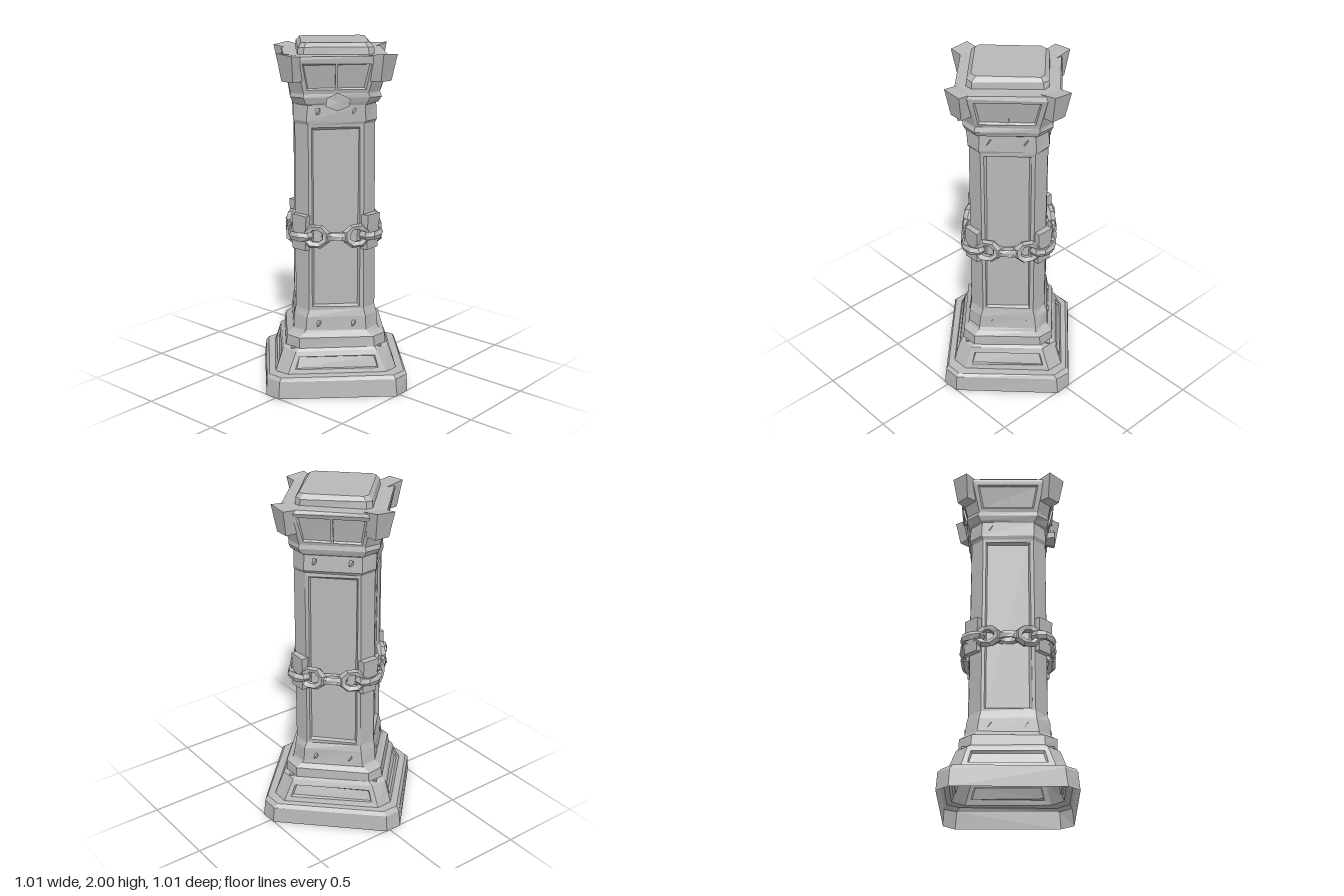
import * as THREE from 'three';

const stone = new THREE.MeshStandardMaterial({ color: 0xb8b8b8, flatShading: true, side: THREE.DoubleSide });
stone.name = 'grey stone';

// Repeatable small offset taken from position, for a hand-hewn look
function hewn(p, amount) {
  const k = Math.round(p.x * 500) * 12.99 + Math.round(p.y * 500) * 78.23 + Math.round(p.z * 500) * 37.72;
  const r = (n) => { const s = Math.sin(k + n * 17.3) * 43758.5; return (s - Math.floor(s) - 0.5) * 2 * amount; };
  return new THREE.Vector3(p.x + r(1), p.y + (p.y > 0.01 && p.y < 1.99 ? r(2) : 0), p.z + r(3));
}

function hewGeometry(geo, amount) {
  const pos = geo.attributes.position;
  for (let i = 0; i < pos.count; i++) {
    const v = hewn(new THREE.Vector3().fromBufferAttribute(pos, i), amount);
    pos.setXYZ(i, v.x, v.y, v.z);
  }
  geo.computeVertexNormals();
  return geo;
}

// Chamfered rectangle: s half size, c chamfer, d extra half length along x
function ring({ y, s, c = 0.07, d = 0.004 }) {
  const a = s + d, b = s - d;
  return [[c - a, b], [a - c, b], [a, b - c], [a, c - b], [a - c, -b], [c - a, -b], [-a, c - b], [-a, b - c]]
    .map(([x, z]) => new THREE.Vector3(x, y, z));
}

const quad = (out, a, b, c, d) => out.push(a, b, c, a, c, d);

// Quad framed by a border, with a bevelled recess in the middle
function panel(out, A, B, C, D, margin, depth) {
  const n = B.clone().sub(A).cross(D.clone().sub(A)).normalize();
  const inset = (m, sink) => {
    const u = m / A.distanceTo(B), v = m / A.distanceTo(D);
    return [[u, v], [1 - u, v], [1 - u, 1 - v], [u, 1 - v]].map(([s, t]) =>
      A.clone().lerp(B, s).lerp(D.clone().lerp(C, s), t).addScaledVector(n, -sink));
  };
  const loops = [[A, B, C, D], inset(margin, 0), inset(margin + depth * 0.6, depth)];
  for (let l = 0; l < 2; l++) {
    for (let i = 0; i < 4; i++) {
      const j = (i + 1) % 4;
      quad(out, loops[l][i], loops[l][j], loops[l + 1][j], loops[l + 1][i]);
    }
  }
  quad(out, ...loops[2]);
}

// Stack of rings; a row with "panel" has recessed faces above it
function stack(name, rows, capped = false) {
  const out = [];
  const rings = rows.map(ring);
  for (let r = 0; r + 1 < rows.length; r++) {
    for (let i = 0; i < 8; i++) {
      const j = (i + 1) % 8;
      const q = [rings[r][i], rings[r][j], rings[r + 1][j], rings[r + 1][i]];
      if (rows[r].panel && i % 2 === 0) panel(out, ...q, ...rows[r].panel);
      else quad(out, ...q);
    }
  }
  if (capped) {
    const top = rings[rings.length - 1];
    for (let i = 1; i < 7; i++) out.push(top[0], top[i], top[i + 1]);
  }
  const geo = new THREE.BufferGeometry().setFromPoints(out.map((p) => hewn(p, 0.0035)));
  geo.computeVertexNormals();
  return named(name, geo);
}

function named(name, geo) {
  const mesh = new THREE.Mesh(geo, stone);
  mesh.name = name;
  return mesh;
}

// Faceted chain link, long axis x, hole facing z
function linkGeometry(length, height) {
  const geo = new THREE.TorusGeometry(0.05, 0.02, 5, 8);
  geo.rotateZ(Math.PI / 8);
  geo.scale(length / 0.135, height / 0.135, 1.25);
  return hewGeometry(geo, 0.004);
}

export function createModel() {
  const model = new THREE.Group();
  model.name = 'pillar';
  const body = new THREE.Group();
  body.name = 'pillarBody';
  body.rotation.y = Math.PI / 4;
  model.add(body);

  // Stepped plinth, open underneath
  body.add(stack('base', [
    { y: 0, s: 0.392, d: 0.017 }, { y: 0.1, s: 0.385, d: 0.017 },
    { y: 0.122, s: 0.37, d: 0.017 }, { y: 0.126, s: 0.334, d: 0.014, panel: [0.03, 0.012] },
    { y: 0.25, s: 0.293, d: 0.012 }, { y: 0.265, s: 0.275, d: 0.01 },
    { y: 0.325, s: 0.272, d: 0.01 }, { y: 0.345, s: 0.247, d: 0.008 },
    { y: 0.36, s: 0.24 }, { y: 0.44, s: 0.233 }, { y: 0.48, s: 0.222 },
  ]));
  const ceiling = named('baseCeiling', new THREE.BoxGeometry(0.52, 0.01, 0.5));
  ceiling.position.y = 0.262;
  body.add(ceiling);

  // Shaft with four tall sunken panels
  body.add(stack('shaft', [
    { y: 0.48, s: 0.222, panel: [0.018, 0.018] }, { y: 1.555, s: 0.22 },
    { y: 1.575, s: 0.227 }, { y: 1.665, s: 0.225 },
  ]));

  // Flared capital and the slab on top
  body.add(stack('capital', [
    { y: 1.665, s: 0.225 }, { y: 1.675, s: 0.234 }, { y: 1.705, s: 0.248 },
    { y: 1.73, s: 0.244, panel: [0.022, 0.012] }, { y: 1.915, s: 0.285 },
    { y: 1.935, s: 0.28 }, { y: 1.94, s: 0.2 },
  ]));
  body.add(stack('topSlab', [
    { y: 1.93, s: 0.215, c: 0.03, d: -0.004 }, { y: 1.975, s: 0.21, c: 0.03, d: -0.004 },
    { y: 2, s: 0.19, c: 0.025, d: -0.004 },
  ], true));

  // Corner pieces: capital horns, chain rests and corner links
  const horn = new THREE.BoxGeometry(0.12, 0.15, 0.12);
  const hp = horn.attributes.position;
  for (let i = 0; i < hp.count; i++) {
    if (hp.getY(i) < 0) {
      hp.setX(i, hp.getX(i) * 0.8);
      if (hp.getZ(i) > 0) hp.setZ(i, 0.035);
    } else if (hp.getZ(i) < 0) hp.setY(i, 0.06);
  }
  hewGeometry(horn, 0.006);
  const rest = hewGeometry(new THREE.BoxGeometry(0.105, 0.2, 0.07), 0.008);
  const cornerLink = linkGeometry(0.17, 0.12);
  for (let i = 0; i < 4; i++) {
    const corner = new THREE.Group();
    corner.name = 'corner' + (i + 1);
    corner.rotation.y = i * Math.PI / 2;
    const hornMesh = named('capitalHorn', horn);
    hornMesh.position.set(0, 1.873, 0.345);
    const restMesh = named('chainRest', rest);
    restMesh.position.set(0, 0.94, 0.265);
    const link = named('cornerLink', cornerLink);
    link.position.set(0, 0.925, 0.282);
    link.rotation.x = Math.PI / 2;
    corner.add(hornMesh, restMesh, link);
    model.add(corner);
  }

  // Chain links and chisel marks on each face
  const flatLink = linkGeometry(0.17, 0.14);
  const edgeLink = linkGeometry(0.17, 0.09);
  const mark = new THREE.TetrahedronGeometry(0.025);
  mark.scale(0.8, 1.2, 0.5);
  for (let i = 0; i < 4; i++) {
    const face = new THREE.Group();
    face.name = 'face' + (i + 1);
    face.rotation.y = i * Math.PI / 2;
    for (const side of [-1, 1]) {
      const link = named('flatLink', flatLink);
      link.position.set(side * 0.115, 0.925, 0.238);
      link.rotation.set(-0.15, side * 0.2, side * 0.08);
      face.add(link);
      for (const [y, z] of [[0.4, 0.233], [1.63, 0.224]]) {
        const chip = named('chiselMark', mark);
        chip.position.set(side * 0.1, y, z);
        face.add(chip);
      }
    }
    const middle = named('edgeLink', edgeLink);
    middle.position.set(0, 0.92, 0.235);
    middle.rotation.x = Math.PI / 2 - 0.2;
    face.add(middle);
    // Raised seam dividing the capital face
    const seam = named('capitalSeam', new THREE.BoxGeometry(0.014, 0.17, 0.012));
    seam.position.set(0, 1.822, 0.255);
    seam.rotation.x = 0.22;
    face.add(seam);
    body.add(face);
  }

  // Carved boss under the capital on one face
  const bossGeo = new THREE.CylinderGeometry(0.05, 0.075, 0.06, 6);
  bossGeo.rotateX(Math.PI / 2);
  bossGeo.scale(1, 0.65, -1);
  bossGeo.index.array.reverse();
  const boss = named('capitalBoss', hewGeometry(bossGeo, 0.006));
  boss.position.set(0.01, 1.69, 0.25);
  body.add(boss);

  return model;
}
